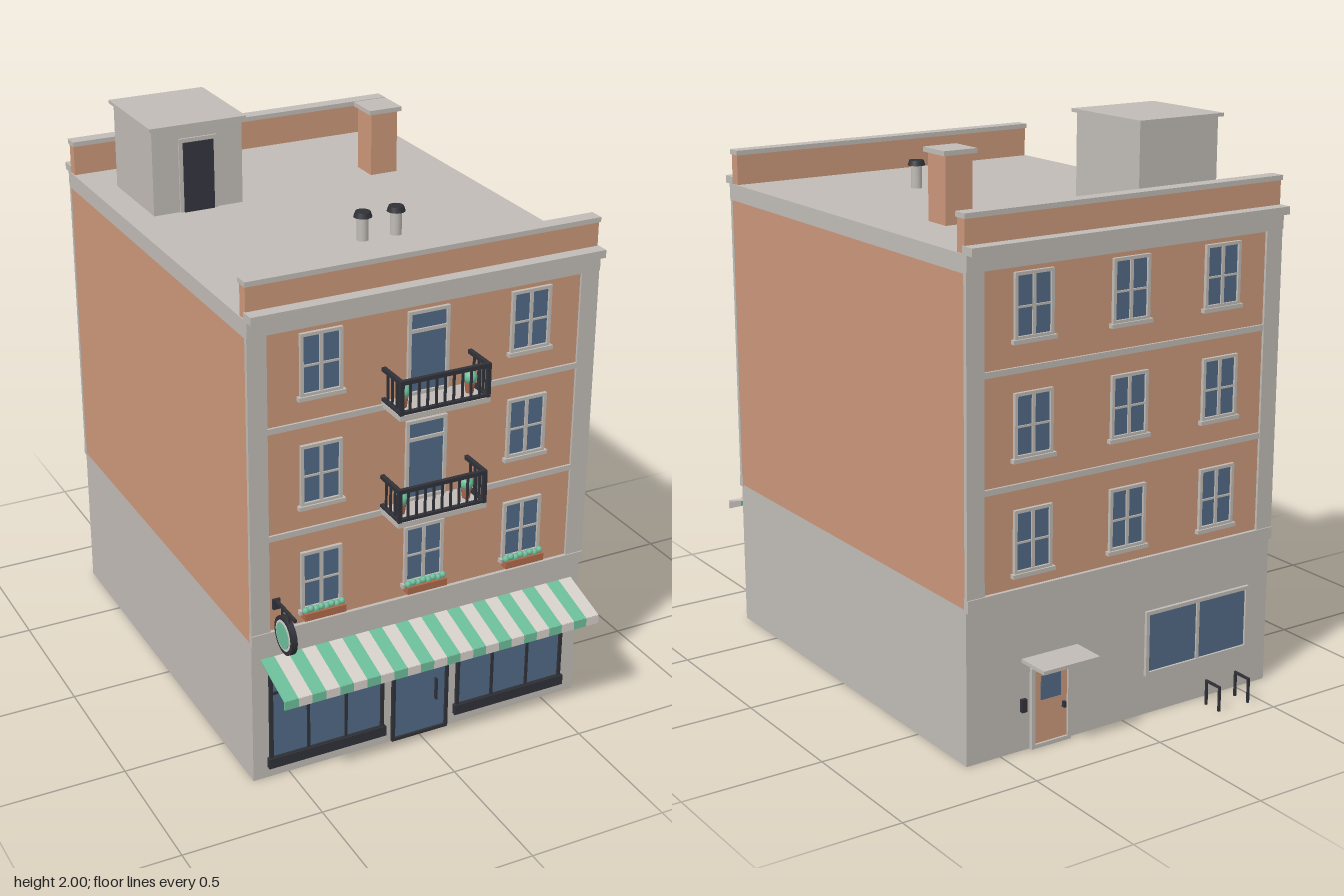
import * as THREE from 'three';

const paint = (name, color, side = THREE.FrontSide) => {
  const m = new THREE.MeshStandardMaterial({ color, side });
  m.name = name;
  return m;
};

export function createModel() {
  const stone = paint('stone', 0xc0bbb6, THREE.DoubleSide);
  const brick = paint('brick', 0xcb977a);
  const glass = paint('glass', 0x526a85);
  const iron = paint('iron', 0x303238);
  const green = paint('green', 0x6cbd9a, THREE.DoubleSide);
  const cream = paint('cream', 0xd6cfca, THREE.DoubleSide);
  const doorDark = paint('dark door', 0x35353f);
  const clay = paint('clay', 0xb0694a);

  const model = new THREE.Group();
  model.name = 'townBuilding';

  const add = (parent, name, geo, mat, x = 0, y = 0, z = 0) => {
    const m = new THREE.Mesh(geo, mat);
    m.name = name;
    m.position.set(x, y, z);
    parent.add(m);
    return m;
  };
  // Box given by its limits on each axis
  const box = (parent, name, mat, x0, x1, y0, y1, z0, z1) =>
    add(parent, name, new THREE.BoxGeometry(x1 - x0, y1 - y0, z1 - z0), mat,
      (x0 + x1) / 2, (y0 + y1) / 2, (z0 + z1) / 2);
  const group = (parent, name, x = 0, y = 0, z = 0) => {
    const g = new THREE.Group();
    g.name = name;
    g.position.set(x, y, z);
    parent.add(g);
    return g;
  };
  // Rectangular border of bars
  const border = (p, name, mat, x0, x1, y0, y1, t, z1) => {
    box(p, name, mat, x0, x0 + t, y0, y1, 0, z1);
    box(p, name, mat, x1 - t, x1, y0, y1, 0, z1);
    box(p, name, mat, x0 + t, x1 - t, y1 - t, y1, 0, z1);
    box(p, name, mat, x0 + t, x1 - t, y0, y0 + t, 0, z1);
  };

  const W = 0.632, ZF = 0.745, ZB = -0.795;

  // Main volumes: the ground floor is a shell open underneath
  const shell = new THREE.BoxGeometry(2 * W, 0.54, ZF - ZB);
  const idx = Array.from(shell.index.array);
  shell.setIndex([...idx.slice(0, 12), ...idx.slice(24)]);
  shell.clearGroups();
  add(model, 'groundFloor', shell, stone, 0, 0.27, (ZF + ZB) / 2);
  box(model, 'upperFloors', brick, -W, W, 0.54, 1.625, ZB, ZF);
  box(model, 'roofSlab', stone, -W - 0.002, W + 0.002, 1.625, 1.685, ZB - 0.004, ZF + 0.004);

  // Facades share one layout; local +z points outwards
  const front = group(model, 'frontFacade', 0, 0, ZF);
  const back = group(model, 'backFacade', 0, 0, ZB);
  back.rotation.y = Math.PI;
  const rows = [0.625, 1.01, 1.395];

  const sashWindow = (p, x, y) => {
    const g = group(p, 'window', x, y, 0);
    box(g, 'windowGlass', glass, -0.066, 0.066, 0.004, 0.211, 0, 0.004);
    border(g, 'windowFrame', stone, -0.074, 0.074, 0, 0.215, 0.011, 0.012);
    box(g, 'windowMullion', stone, -0.006, 0.006, 0.011, 0.204, 0, 0.009);
    box(g, 'windowBar', stone, -0.063, 0.063, 0.1, 0.107, 0, 0.008);
    box(g, 'windowSill', stone, -0.083, 0.083, -0.012, 0.002, 0, 0.018);
    return g;
  };

  for (const f of [front, back]) {
    const w = W + 0.002;
    box(f, 'belt', stone, -w, w, 0.532, 0.575, -0.01, 0.013);
    for (const s of [-1, 1])
      box(f, 'pilaster', stone, Math.min(s * 0.567, s * w), Math.max(s * 0.567, s * w), 0.575, 1.63, -0.006, 0.009);
    for (const y of [0.907, 1.288]) box(f, 'floorBand', stone, -0.567, 0.567, y, y + 0.02, 0, 0.008);
    box(f, 'frieze', stone, -w, w, 1.63, 1.685, -0.006, 0.013);
    box(f, 'corniceLedge', stone, -w, w, 1.683, 1.71, -0.012, 0.042);
    box(f, 'parapet', brick, -W + 0.002, W - 0.002, 1.685, 1.793, -0.045, -0.004);
    box(f, 'parapetCap', stone, -w, w, 1.793, 1.81, -0.051, 0.002);
    rows.forEach((y, r) => {
      for (const x of [-0.38, 0, 0.38])
        if (f === back || r === 0 || x !== 0) sashWindow(f, x, y);
    });
  }

  // Flower boxes under the lowest front windows
  for (const x of [-0.38, 0, 0.38]) {
    const g = group(front, 'flowerBox', x, 0.6, 0);
    box(g, 'planter', clay, -0.075, 0.075, 0, 0.026, 0.008, 0.04);
    for (let i = 0; i < 8; i++)
      add(g, 'leaves', new THREE.IcosahedronGeometry(0.012, 1), green, -0.066 + i * 0.0189, 0.03 + (i % 2) * 0.005, 0.024);
  }

  // Balconies with glazed doors, railings and potted shrubs
  for (const y of [0.917, 1.3]) {
    const g = group(front, 'balcony', 0, y, 0);
    box(g, 'balconyDoorGlass', glass, -0.067, 0.067, 0.02, 0.302, 0, 0.004);
    border(g, 'balconyDoorFrame', stone, -0.075, 0.075, 0.02, 0.311, 0.011, 0.012);
    box(g, 'balconyDoorTransom', stone, -0.065, 0.065, 0.235, 0.247, 0, 0.01);
    box(g, 'balconySlab', stone, -0.164, 0.164, 0, 0.018, 0, 0.127);
    for (const [y0, y1] of [[0.02, 0.03], [0.123, 0.137]]) {
      box(g, 'frontRail', iron, -0.164, 0.164, y0, y1, 0.113, 0.127);
      for (const s of [-1, 1]) box(g, 'sideRail', iron, s * 0.157 - 0.007, s * 0.157 + 0.007, y0, y1, 0, 0.113);
    }
    const bar = (x, z, t) => box(g, 'baluster', iron, x - t, x + t, 0.018, 0.13, z - t, z + t);
    for (let i = 0; i <= 10; i++) bar(-0.157 + i * 0.0314, 0.12, i % 10 ? 0.0035 : 0.007);
    for (const s of [-1, 1]) {
      for (let i = 0; i < 3; i++) bar(s * 0.157, 0.03 + i * 0.03, 0.0035);
      add(g, 'pot', new THREE.CylinderGeometry(0.018, 0.013, 0.036, 12), clay, s * 0.122, 0.036, 0.065);
      add(g, 'shrub', new THREE.IcosahedronGeometry(0.024, 2), green, s * 0.122, 0.072, 0.065);
    }
  }

  // Shopfront windows and entrance
  for (const s of [-1, 1]) {
    const g = group(front, 'shopWindow', s * 0.358, 0, 0);
    box(g, 'shopGlass', glass, -0.21, 0.21, 0.07, 0.405, 0, 0.004);
    border(g, 'shopFrame', iron, -0.215, 0.215, 0.07, 0.41, 0.012, 0.012);
    for (const x of [-0.071, 0.071]) box(g, 'shopMullion', iron, x - 0.005, x + 0.005, 0.08, 0.4, 0, 0.01);
    box(g, 'shopTransom', iron, -0.205, 0.205, 0.328, 0.338, 0, 0.009);
    box(g, 'shopBase', iron, -0.222, 0.222, 0.042, 0.08, 0, 0.018);
  }
  const entry = group(front, 'shopDoor');
  box(entry, 'doorGlass', glass, -0.105, 0.105, 0.008, 0.405, 0, 0.004);
  border(entry, 'doorFrame', iron, -0.11, 0.11, 0.003, 0.41, 0.012, 0.012);
  box(entry, 'doorTransom', iron, -0.1, 0.1, 0.32, 0.332, 0, 0.01);
  box(entry, 'doorHandle', iron, 0.058, 0.064, 0.13, 0.215, 0.004, 0.018);

  // Striped awning: sloping cloth with a hanging valance
  const awning = group(front, 'awning');
  const n = 24, sw = 1.2 / n, run = 0.182, drop = 0.055;
  for (let i = 0; i < n; i++) {
    const mat = i % 2 ? cream : green, x = -0.6 + (i + 0.5) * sw;
    const cloth = add(awning, 'awningStripe', new THREE.BoxGeometry(sw, 0.005, Math.hypot(run, drop)), mat, x, 0.471 - drop / 2, run / 2);
    cloth.rotation.x = Math.atan2(drop, run);
    box(awning, 'awningValance', mat, x - sw / 2, x + sw / 2, 0.386, 0.418, run - 0.002, run + 0.003);
  }

  // Round hanging sign on a bracket
  const sign = group(front, 'hangingSign', -0.542, 0, 0);
  box(sign, 'signMount', iron, -0.013, 0.013, 0.655, 0.692, 0, 0.01);
  box(sign, 'signArm', iron, -0.005, 0.005, 0.68, 0.69, 0, 0.147);
  for (const z of [0.05, 0.102]) box(sign, 'signHanger', iron, -0.003, 0.003, 0.64, 0.682, z - 0.003, z + 0.003);
  for (const [name, r, t, mat] of [['signRim', 0.067, 0.02, iron], ['signBorder', 0.053, 0.024, cream], ['signFace', 0.045, 0.028, green]])
    add(sign, name, new THREE.CylinderGeometry(r, r, t, 32), mat, 0, 0.595, 0.076).rotation.z = Math.PI / 2;

  // Back door, canopy, intercom and service window (back x is mirrored)
  const rear = group(back, 'backDoor', -0.305, 0, 0);
  box(rear, 'backDoorLeaf', brick, -0.066, 0.066, 0.004, 0.275, 0, 0.006);
  border(rear, 'backDoorFrame', stone, -0.08, 0.08, 0, 0.285, 0.014, 0.014);
  box(rear, 'backDoorPane', glass, -0.04, 0.04, 0.165, 0.25, 0.004, 0.009);
  box(rear, 'backDoorKnob', iron, 0.046, 0.056, 0.12, 0.14, 0.004, 0.02);
  box(rear, 'backCanopy', stone, -0.112, 0.112, 0.312, 0.325, 0, 0.125);
  box(rear, 'intercom', iron, -0.118, -0.098, 0.14, 0.185, 0, 0.014);
  const service = group(back, 'serviceWindow', 0.315, 0, 0);
  box(service, 'serviceGlass', glass, -0.22, 0.22, 0.15, 0.37, 0, 0.004);
  border(service, 'serviceFrame', stone, -0.226, 0.226, 0.143, 0.376, 0.013, 0.012);
  box(service, 'serviceMullion', stone, -0.006, 0.006, 0.155, 0.364, 0, 0.01);

  // Bicycle hoops
  for (const x of [-0.45, -0.32]) {
    const g = group(model, 'bikeHoop', x, 0, -0.888);
    for (const z of [-0.034, 0.034]) box(g, 'hoopLeg', iron, -0.004, 0.004, 0, 0.092, z - 0.004, z + 0.004);
    box(g, 'hoopTop', iron, -0.004, 0.004, 0.084, 0.092, -0.03, 0.03);
  }

  // Roof stairwell
  const stair = group(model, 'stairwell', -0.37, 1.685, -0.396);
  box(stair, 'stairWalls', stone, -0.166, 0.166, 0, 0.303, -0.175, 0.175);
  box(stair, 'stairCap', stone, -0.178, 0.178, 0.303, 0.315, -0.19, 0.19);
  box(stair, 'stairDoorFrame', stone, -0.07, 0.07, 0, 0.262, 0.175, 0.182);
  box(stair, 'stairDoor', doorDark, -0.056, 0.056, 0, 0.248, 0.178, 0.187);

  // Chimney and vent pipes
  const chimney = group(model, 'chimney', 0.381, 1.685, -0.327);
  box(chimney, 'chimneyStack', brick, -0.052, 0.052, 0, 0.228, -0.052, 0.052);
  box(chimney, 'chimneyCap', stone, -0.064, 0.064, 0.228, 0.244, -0.063, 0.063);
  for (const x of [0, 0.125]) {
    add(model, 'ventPipe', new THREE.CylinderGeometry(0.02, 0.02, 0.085, 16), stone, x, 1.727, 0.293);
    add(model, 'ventCap', new THREE.CylinderGeometry(0.026, 0.032, 0.018, 16), iron, x, 1.776, 0.293);
  }
  return model;
}
